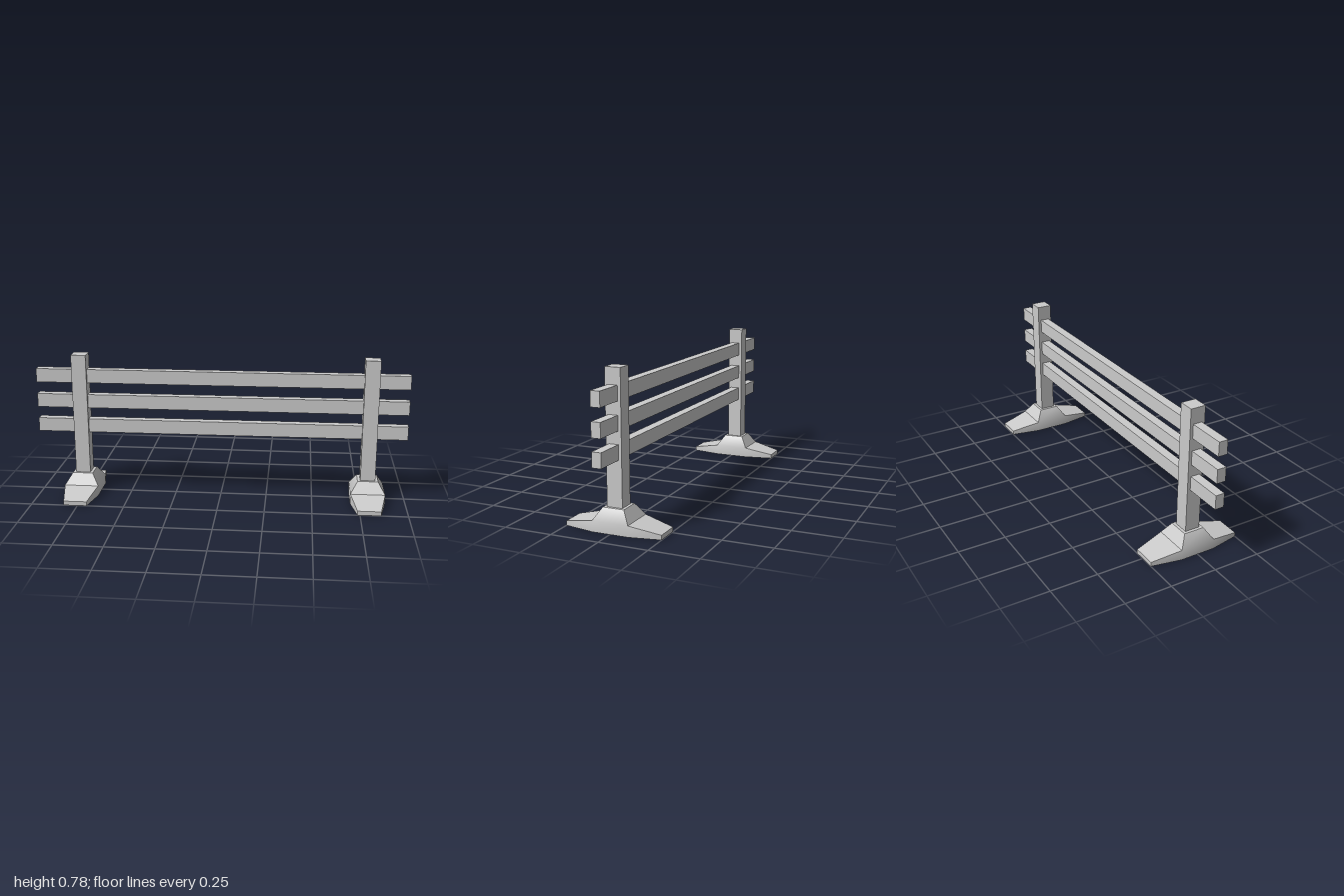
import * as THREE from 'three';
import { toCreasedNormals } from 'three/addons/utils/BufferGeometryUtils.js';

const material = new THREE.MeshStandardMaterial({ color: 0xcccccc, side: THREE.DoubleSide });

function addMesh(parent, name, geometry, x, y, z) {
  const mesh = new THREE.Mesh(geometry, material);
  mesh.name = name;
  mesh.position.set(x, y, z);
  parent.add(mesh);
  return mesh;
}

// Hollow foot: tapered arms to front and back, with a sloped collar around the post
function footGeometry(postHalf) {
  const outline = [
    [0.062, 0.25], [0.0925, 0.094], [0.0925, -0.094], [0.062, -0.25],
    [-0.062, -0.25], [-0.0925, -0.094], [-0.0925, 0.094], [-0.062, 0.25],
  ];
  const square = (h, y) => [[h, y, h], [h, y, -h], [-h, y, -h], [-h, y, h]];
  const base = outline.map(([x, z]) => [x, 0, z]);
  const rim = outline.map(([x, z]) => [x, Math.abs(z) > 0.2 ? 0.023 : 0.055, z]);
  const shoulder = [1, 2, 5, 6].map((i) => rim[i]);
  const collar = square(0.055, 0.115);
  const hole = square(postHalf, 0.115);

  const positions = [];
  const quad = (a, b, c, d) => positions.push(...a, ...b, ...c, ...a, ...c, ...d);
  const band = (lower, upper) => lower.forEach((p, i) => {
    const j = (i + 1) % lower.length;
    quad(p, lower[j], upper[j], upper[i]);
  });

  band(base, rim);
  band(shoulder, collar);
  band(collar, hole);
  quad(rim[0], rim[1], rim[6], rim[7]); // front arm top
  quad(rim[4], rim[5], rim[2], rim[3]); // back arm top

  const geometry = new THREE.BufferGeometry();
  geometry.setAttribute('position', new THREE.Float32BufferAttribute(positions, 3));
  return toCreasedNormals(geometry, 0.66);
}

// Square post, open at the bottom where it meets the foot
function postGeometry(width, height) {
  const geometry = new THREE.BoxGeometry(width, height, width);
  const index = Array.from(geometry.index.array);
  index.splice(18, 6); // bottom face
  geometry.setIndex(index);
  geometry.clearGroups();
  return geometry;
}

export function createModel() {
  const model = new THREE.Group();
  model.name = 'fence';

  // Two uprights, each a post on a foot
  const postWidth = 0.08, postBottom = 0.115, postTop = 0.775;
  const foot = footGeometry(postWidth / 2);
  const post = postGeometry(postWidth, postTop - postBottom);
  for (const [name, x] of [['rightUpright', -0.762], ['leftUpright', 0.798]]) {
    const upright = new THREE.Group();
    upright.name = name;
    upright.position.x = x;
    addMesh(upright, 'foot', foot, 0, 0, 0);
    addMesh(upright, 'post', post, 0, (postTop + postBottom) / 2, 0);
    model.add(upright);
  }

  // Three rails running through the posts
  const rail = new THREE.BoxGeometry(2, 0.074, 0.048);
  [['lowerRail', 0.381], ['middleRail', 0.518], ['upperRail', 0.657]]
    .forEach(([name, y]) => addMesh(model, name, rail, 0, y, 0));

  return model;
}
